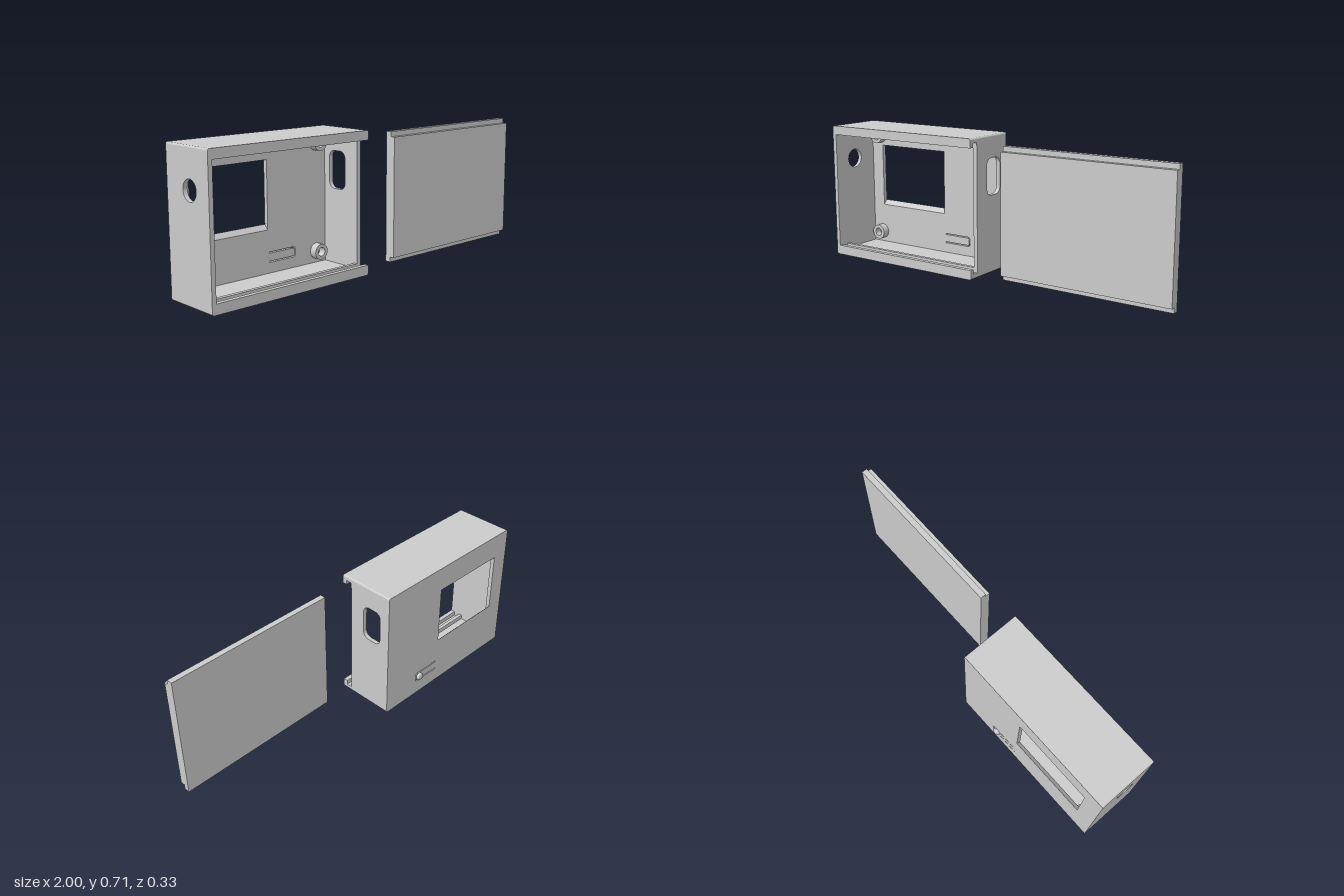
import * as THREE from 'three';

const grey = new THREE.MeshStandardMaterial({ color: 0xcccccc, flatShading: false });

// Enclosure limits
const X0 = -1, X1 = -0.08, Y1 = 0.712, ZB = -0.148, ZF = 0.164;
const WALL = 0.022, FLOOR = 0.025, GROOVE = 0.108, LIP = 0.14;

function polygon(points, Type = THREE.Shape) {
  return new Type(points.map(([x, y]) => new THREE.Vector2(x, y)));
}

// Rounded rectangle; radii run bottom-left, bottom-right, top-right, top-left
function roundRect(x0, y0, x1, y1, [a, b, c, d], Type = THREE.Shape) {
  const s = new Type();
  s.moveTo(x0 + a, y0);
  s.lineTo(x1 - b, y0);
  if (b) s.absarc(x1 - b, y0 + b, b, -Math.PI / 2, 0, false);
  s.lineTo(x1, y1 - c);
  if (c) s.absarc(x1 - c, y1 - c, c, 0, Math.PI / 2, false);
  s.lineTo(x0 + d, y1);
  if (d) s.absarc(x0 + d, y1 - d, d, Math.PI / 2, Math.PI, false);
  s.lineTo(x0, y0 + a);
  if (a) s.absarc(x0 + a, y0 + a, a, Math.PI, Math.PI * 1.5, false);
  return s;
}

function circle(x, y, r, Type = THREE.Path) {
  return new Type().absarc(x, y, r, 0, Math.PI * 2, false);
}

function add(parent, name, geometry) {
  const mesh = new THREE.Mesh(geometry, grey);
  mesh.name = name;
  parent.add(mesh);
  return mesh;
}

// Extrude an (x, y) shape from z0 to z1
function alongZ(shape, z0, z1) {
  return new THREE.ExtrudeGeometry(shape, { depth: z1 - z0, bevelEnabled: false, curveSegments: 16 })
    .translate(0, 0, z0);
}

// Extrude a shape drawn in (-z, y) from x0 to x1
function alongX(shape, x0, x1) {
  return new THREE.ExtrudeGeometry(shape, { depth: x1 - x0, bevelEnabled: false, curveSegments: 24 })
    .rotateY(Math.PI / 2).translate(x0, 0, 0);
}

function block(x0, x1, y0, y1, z0, z1) {
  return new THREE.BoxGeometry(x1 - x0, y1 - y0, z1 - z0)
    .translate((x0 + x1) / 2, (y0 + y1) / 2, (z0 + z1) / 2);
}

function createCase() {
  const g = new THREE.Group();
  g.name = 'case';
  const r = 0.01, inner = ZB + WALL;

  // Back panel with the display window and the U-shaped cut of the button tab
  const panel = roundRect(X0, 0, X1, Y1, [r, r, r, r]);
  panel.holes.push(polygon([[-0.905, 0.24], [-0.47, 0.24], [-0.47, 0.58], [-0.905, 0.58]], THREE.Path));
  const w = 0.006, sx = -0.462, ex = -0.3, sy = 0.078, ey = 0.13, c = 0.012;
  panel.holes.push(polygon([
    [sx, sy], [ex - c, sy], [ex - 0.3 * c, sy + 0.3 * c], [ex, sy + c],
    [ex, ey - c], [ex - 0.3 * c, ey - 0.3 * c], [ex - c, ey], [sx, ey],
    [sx, ey - w], [ex - c, ey - w], [ex - w, ey - c],
    [ex - w, sy + c], [ex - c, sy + w], [sx, sy + w],
  ], THREE.Path));
  add(g, 'backPanel', alongZ(panel, ZB, inner));

  // Sloping sill of the window
  add(g, 'windowSill', alongX(polygon([[-inner, 0.24], [-ZB, 0.24], [-ZB, 0.265]]), -0.905, -0.47));

  // Floor and roof with rounded outer corners
  add(g, 'floor', alongZ(roundRect(X0, 0, X1, FLOOR, [r, r, 0, 0]), inner, ZF));
  add(g, 'roof', alongZ(roundRect(X0, Y1 - FLOOR, X1, Y1, [0, 0, r, r]), inner, ZF));

  // Left wall in view: full depth with a round cable hole
  const far = roundRect(-ZF, FLOOR, -inner, Y1 - FLOOR, [0, 0, 0, 0]);
  far.holes.push(circle(-0.024, 0.52, 0.05));
  add(g, 'closedSideWall', alongX(far, X0, X0 + WALL));

  // Opposite wall: stops at the groove so the cover can slide in
  const near = roundRect(-GROOVE, FLOOR, -inner, Y1 - FLOOR, [0, 0, 0, 0]);
  near.holes.push(roundRect(-0.022, 0.405, 0.09, 0.595, [0.035, 0.035, 0.035, 0.035], THREE.Path));
  add(g, 'openSideWall', alongX(near, X1 - WALL, X1));

  // Lips and ridges on both sides of the cover grooves
  for (const [side, y0, y1] of [['lower', FLOOR, 0.05], ['upper', Y1 - 0.047, Y1 - FLOOR]]) {
    add(g, side + 'Lip', block(X0 + WALL, X1, y0, y1, LIP, ZF));
    add(g, side + 'Ridge', block(X0 + WALL, X1 - WALL, y0, y1, GROOVE - 0.02, GROOVE));
  }

  // Screw bosses
  for (const x of [-0.918, -0.162]) {
    for (const y of [0.085, 0.635]) {
      const ring = circle(x, y, 0.04, THREE.Shape);
      ring.holes.push(circle(x, y, 0.022));
      add(g, 'screwBoss', alongZ(ring, inner, inner + 0.04));
    }
  }

  // Push button on the end of the tab
  const profile = [[0.02, 0], [0.02, 0.009], [0.0185, 0.0125], [0.015, 0.0155], [0, 0.0155]]
    .map(([x, y]) => new THREE.Vector2(x, y));
  add(g, 'button', new THREE.LatheGeometry(profile, 32).rotateX(-Math.PI / 2))
    .position.set(-0.328, 0.103, ZB);
  return g;
}

function createCover() {
  // Sliding cover: wide tongue behind a narrower face
  const z0 = -GROOVE - 0.001, z1 = -LIP + 0.001, z2 = -ZF + 0.001;
  const profile = polygon([
    [z0, 0.027], [z0, 0.688], [z1, 0.688], [z1, 0.663],
    [z2, 0.663], [z2, 0.053], [z1, 0.053], [z1, 0.027],
  ]);
  const g = new THREE.Group();
  g.name = 'cover';
  add(g, 'slidingCover', alongX(profile, 0.098, 1));
  return g;
}

export function createModel() {
  const model = new THREE.Group();
  model.name = 'enclosure';
  model.add(createCase(), createCover());
  return model;
}
